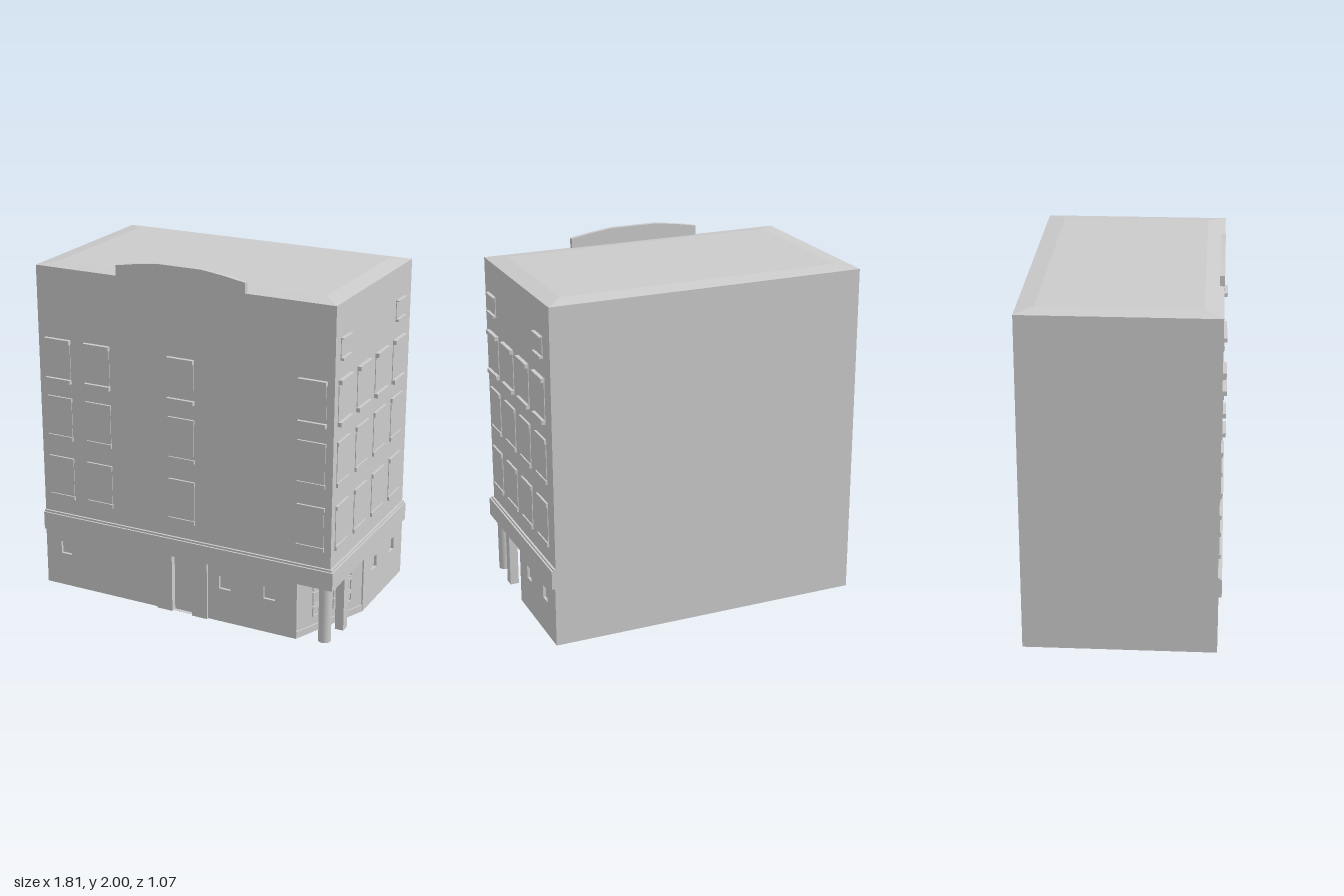
import * as THREE from 'three';

const mat = new THREE.MeshStandardMaterial({ color: 0xcccccc, side: THREE.DoubleSide, flatShading: true });
const smooth = new THREE.MeshStandardMaterial({ color: 0xcccccc });

// Footprint and heights
const L = -0.905, R = 0.88, F = 0.515, B = -0.535;
const BAND = 0.34, EAVE = 1.905, TOP = 1.92;

function add(parent, name, geo, material = mat) {
  const m = new THREE.Mesh(geo, material);
  m.name = name;
  parent.add(m);
  return m;
}

// Box given by its limits on each axis
function box(parent, name, x0, x1, y0, y1, z0, z1) {
  const m = add(parent, name, new THREE.BoxGeometry(x1 - x0, y1 - y0, z1 - z0));
  m.position.set((x0 + x1) / 2, (y0 + y1) / 2, (z0 + z1) / 2);
  return m;
}

function polygon(points) {
  return new THREE.Shape(points.map(([x, y]) => new THREE.Vector2(x, y)));
}

function rect(x0, x1, y0, y1) {
  return polygon([[x0, y0], [x1, y0], [x1, y1], [x0, y1]]);
}

// Wall panel in the local xy plane with openings cut through
function panel(parent, name, outline, holes, z, depth) {
  outline.holes = holes;
  const geo = new THREE.ExtrudeGeometry(outline, { depth, bevelEnabled: false });
  add(parent, name, geo).position.z = z;
}

// Walls and shallow hipped roof, open underneath, from rings of four corners
function shell() {
  const ring = (y, inset) => [
    [L + inset, y, F - inset], [R - inset, y, F - inset],
    [R - inset, y, B + inset], [L + inset, y, B + inset]];
  const rings = [ring(BAND, 0), ring(EAVE, 0), ring(TOP, 0.1)];
  const pos = [];
  const quad = (a, b, c, d) => pos.push(...a, ...b, ...c, ...a, ...c, ...d);
  for (let k = 0; k < 2; k++) {
    for (let i = 0; i < 4; i++) {
      const j = (i + 1) % 4;
      quad(rings[k][i], rings[k][j], rings[k + 1][j], rings[k + 1][i]);
    }
  }
  quad(...rings[2]);
  const geo = new THREE.BufferGeometry();
  geo.setAttribute('position', new THREE.Float32BufferAttribute(pos, 3));
  geo.computeVertexNormals();
  return geo;
}

// Window: thin pane between a lintel and a sill
function upperWindow(parent, z, u0, u1, yLow, yHigh, out, lintel = 0.024, sill = 0.024) {
  const g = new THREE.Group();
  g.name = 'upperWindow';
  parent.add(g);
  box(g, 'lintel', u0, u1, yHigh - lintel / 2, yHigh + lintel / 2, z - 0.005, z + out);
  box(g, 'sill', u0, u1, yLow - sill / 2, yLow + sill / 2, z - 0.005, z + out);
  box(g, 'pane', u0 + 0.004, u1 - 0.004, yLow, yHigh, z - 0.005, z + 0.004);
}

function windowGrid(parent, z, columns) {
  const rows = [[1.26, 1.49, 0.022], [0.92, 1.15, 0.012], [0.56, 0.79, 0.012]];
  for (const [u0, u1] of columns)
    for (const [low, high, out] of rows) upperWindow(parent, z, u0, u1, low, high, out);
}

// Small recessed ground floor window: pane set behind an opening
function smallOpenings(parent, z, starts) {
  return starts.map((u) => {
    box(parent, 'smallWindowPane', u - 0.005, u + 0.075, 0.195, 0.28, z - 0.022, z - 0.016);
    return rect(u, u + 0.07, 0.2, 0.275);
  });
}

export function createModel() {
  const model = new THREE.Group();
  model.name = 'building';

  add(model, 'upperWallsAndRoof', shell());

  // Plain lower walls at the back and left
  const back = add(model, 'lowerBackWall', new THREE.PlaneGeometry(R - L, BAND));
  back.position.set((L + R) / 2, BAND / 2, B);
  back.rotation.y = Math.PI;
  const left = add(model, 'lowerLeftWall', new THREE.PlaneGeometry(F - B, BAND));
  left.position.set(L, BAND / 2, (F + B) / 2);
  left.rotation.y = -Math.PI / 2;

  // Front facade
  const front = new THREE.Group();
  front.name = 'frontFacade';
  model.add(front);
  windowGrid(front, F, [[-0.86, -0.7], [-0.61, -0.45], [-0.09, 0.07], [0.68, 0.84]]);
  const frontHoles = smallOpenings(front, 0.52, [-0.805, 0.22, 0.49]);
  const doorway = rect(-0.07, 0.055, 0.001, BAND - 0.001);
  panel(front, 'lowerFrontWall', rect(L, 0.69, 0, BAND), [...frontHoles, doorway], 0.5, 0.02);
  box(front, 'frontDoor', -0.08, 0.065, 0, BAND, 0.49, 0.5);
  for (const x of [-0.165, 0.055]) box(front, 'doorPilaster', x, x + 0.095, 0, BAND, 0.5, 0.534);

  // Right facade, turned so that local x runs towards the back
  const side = new THREE.Group();
  side.name = 'rightFacade';
  side.rotation.y = Math.PI / 2;
  model.add(side);
  windowGrid(side, R, [[-0.47, -0.31], [-0.22, -0.055], [0.03, 0.195], [0.285, 0.445]]);
  for (const u of [-0.455, 0.31]) upperWindow(side, R, u, u + 0.12, 1.61, 1.72, 0.02, 0.006, 0.014);
  const sideHoles = smallOpenings(side, 0.885, [0.072, 0.335]);
  panel(side, 'lowerRightWall', rect(-0.05, 0.535, 0, BAND), sideHoles, 0.865, 0.02);

  // Band and narrow cornice around the front and right
  for (const [y0, y1, out] of [[BAND, 0.445, 0.022], [0.445, 0.456, 0.012]]) {
    box(model, 'frontBand', L, R + out, y0, y1, F - 0.015, F + out);
    box(model, 'rightBand', R - 0.015, R + out, y0, y1, B, F);
  }

  // Covered corner entrance: soffit, slanted door wall, column and pillar
  const soffit = add(model, 'entranceSoffit', new THREE.ShapeGeometry(
    polygon([[0.68, 0.52], [0.89, 0.52], [0.89, 0.04], [0.86, 0.04]])));
  soffit.rotation.x = Math.PI / 2;
  soffit.position.y = BAND + 0.001;

  const entry = new THREE.Group();
  entry.name = 'cornerEntrance';
  entry.position.set(0.78, 0, 0.28);
  entry.rotation.y = Math.atan2(0.465, 0.195);
  model.add(entry);
  box(entry, 'entranceWall', -0.25, 0.25, 0.03, BAND, -0.015, 0);
  box(entry, 'entrancePlinth', -0.25, 0.25, 0, 0.04, -0.015, 0.008);
  for (const u of [-0.1, 0.055, 0.135]) {
    for (const [y0, y1] of [[0.09, 0.15], [0.16, 0.235], [0.245, 0.29]]) {
      const frame = rect(u - 0.03, u + 0.03, y0, y1);
      panel(entry, 'doorFrame', frame, [rect(u - 0.022, u + 0.022, y0 + 0.008, y1 - 0.008)], 0, 0.008);
    }
  }

  const column = add(model, 'cornerColumn', new THREE.CylinderGeometry(0.035, 0.035, BAND - 0.01, 24), smooth);
  column.position.set(0.84, BAND / 2 + 0.005, 0.479);
  box(model, 'entrancePillar', 0.83, 0.88, 0, BAND, 0.26, 0.315);

  // Raised curved parapet over the front
  const crest = polygon([[-0.4, 1.88], [0.37, 1.88], [0.37, 1.962], [0.25, 1.983], [0.12, 2],
    [-0.15, 2], [-0.28, 1.983], [-0.4, 1.962]]);
  panel(model, 'frontParapet', crest, [], 0.49, 0.026);

  return model;
}
